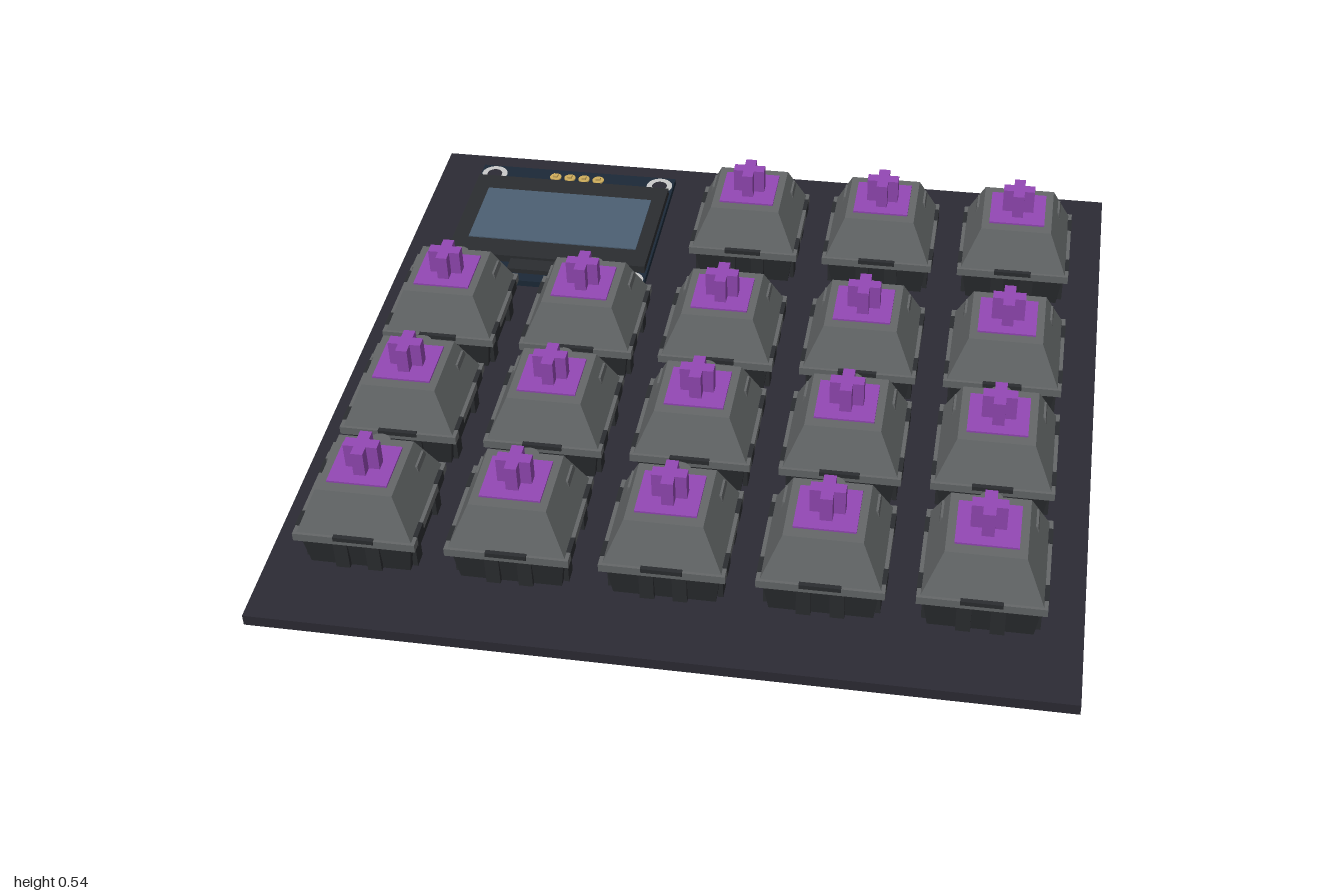
import * as THREE from 'three';

const paint = (name, color) => Object.assign(new THREE.MeshStandardMaterial({ color }), { name });
const M = {
  plate: paint('charcoal board', 0x2b2a33),
  dark: paint('dark plastic', 0x2a2c2f),
  grey: paint('grey housing', 0x626566),
  purple: paint('purple stem', 0x9046b0),
  navy: paint('navy display board', 0x1b2836),
  glass: paint('blue screen', 0x4a5d70),
  silver: paint('silver metal', 0xc4c4c4),
  gold: paint('gold pin', 0xc9a959),
};

function add(parent, name, geo, mat, x = 0, y = 0, z = 0) {
  const m = new THREE.Mesh(geo, mat);
  m.name = name;
  m.position.set(x, y, z);
  parent.add(m);
  return m;
}

const box = (w, h, d) => new THREE.BoxGeometry(w, h, d);
const rod = (r, h, n = 16) => new THREE.CylinderGeometry(r, r, h, n);

// Box whose top differs from its bottom; base sits on y = 0
function taper(w0, d0, w1, d1, h, shift = 0) {
  const g = new THREE.BoxGeometry(1, h, 1).translate(0, h / 2, 0);
  const p = g.attributes.position;
  for (let i = 0; i < p.count; i++) {
    const top = p.getY(i) > h / 2;
    p.setX(i, p.getX(i) * (top ? w1 : w0));
    p.setZ(i, p.getZ(i) * (top ? d1 : d0) + (top ? shift : 0));
  }
  g.computeVertexNormals();
  return g;
}

// Stadium outline for the port
function stadium(Cls, w, h) {
  const s = new Cls(), r = h / 2, a = w / 2 - r;
  s.absarc(a, 0, r, -Math.PI / 2, Math.PI / 2, false);
  s.absarc(-a, 0, r, Math.PI / 2, Math.PI * 1.5, false);
  s.closePath();
  return s;
}

// Geometry shared by every switch
const G = {
  lower: taper(0.25, 0.25, 0.276, 0.276, 0.095),
  rib: box(0.035, 0.085, 0.012),
  sideRib: box(0.012, 0.085, 0.04),
  flange: box(0.304, 0.022, 0.3),
  cover: taper(0.285, 0.285, 0.19, 0.2, 0.107),
  lensBlock: taper(0.12, 0.08, 0.09, 0.05, 0.08, 0.01),
  lens: rod(0.03, 0.08),
  shoulder: taper(0.06, 0.1, 0.04, 0.06, 0.075, 0.015),
  clip: box(0.03, 0.03, 0.05),
  latch: box(0.1, 0.012, 0.012),
  stemBase: box(0.15, 0.03, 0.143),
  crossX: box(0.085, 0.075, 0.03),
  crossZ: box(0.03, 0.075, 0.085),
  post: rod(0.04, 0.045),
  peg: rod(0.017, 0.035, 10),
  ledPin: box(0.01, 0.045, 0.01),
  socketA: box(0.13, 0.04, 0.09),
  socketB: box(0.1, 0.04, 0.07),
  pad: box(0.04, 0.025, 0.045),
  diode: box(0.055, 0.024, 0.032),
  lead: box(0.018, 0.008, 0.014),
};

function makeSwitch() {
  const s = new THREE.Group();
  s.name = 'keySwitch';
  // Housing
  add(s, 'lowerHousing', G.lower, M.dark, 0, 0.015, 0);
  for (const a of [-1, 1]) {
    for (const b of [-1, 1]) {
      add(s, 'housingRib', G.rib, M.dark, a * 0.04, 0.06, b * 0.134);
      add(s, 'sideRib', G.sideRib, M.dark, b * 0.134, 0.06, a * 0.09);
      add(s, 'cornerClip', G.clip, M.dark, a * 0.138, 0.112, b * 0.095);
    }
    add(s, 'latch', G.latch, M.dark, 0, 0.122, a * 0.147);
    add(s, 'rearShoulder', G.shoulder, M.grey, a * 0.095, 0.125, -0.09);
  }
  add(s, 'flange', G.flange, M.grey, 0, 0.114, 0);
  add(s, 'upperHousing', G.cover, M.grey, 0, 0.125, 0);
  add(s, 'lensBlock', G.lensBlock, M.grey, 0, 0.125, -0.105);
  add(s, 'lensBoss', G.lens, M.grey, 0, 0.172, -0.11);
  // Stem
  add(s, 'stemBase', G.stemBase, M.purple, 0, 0.222, 0);
  add(s, 'stemCross', G.crossX, M.purple, 0, 0.267, 0);
  add(s, 'stemCross', G.crossZ, M.purple, 0, 0.267, 0);
  // Underside: locating pegs, socket, lamp pins and diode
  add(s, 'centrePost', G.post, M.dark, 0, -0.036, 0);
  for (const a of [-1, 1]) {
    add(s, 'peg', G.peg, M.dark, a * 0.1, -0.025, 0);
    add(s, 'lampPin', G.ledPin, M.silver, a * 0.025, -0.032, -0.1);
    add(s, 'diodeLead', G.lead, M.silver, a * 0.035, -0.02, 0.2);
  }
  add(s, 'socket', G.socketA, M.dark, 0.05, -0.04, 0.09);
  add(s, 'socket', G.socketB, M.dark, -0.055, -0.04, 0.07);
  add(s, 'socketPad', G.pad, M.silver, 0.133, -0.03, 0.1);
  add(s, 'socketPad', G.pad, M.silver, -0.123, -0.03, 0.055);
  add(s, 'diode', G.diode, M.dark, 0, -0.027, 0.2);
  return s;
}

function makeDisplay() {
  const d = new THREE.Group();
  d.name = 'display';
  d.position.set(-0.546, 0, -0.585);
  add(d, 'displayBoard', box(0.582, 0.018, 0.548), M.navy, 0, 0.065, 0);
  add(d, 'bezel', box(0.57, 0.022, 0.385), M.dark, 0, 0.085, 0);
  add(d, 'screen', box(0.486, 0.004, 0.242), M.glass, 0.003, 0.097, -0.003);
  add(d, 'ribbon', box(0.2, 0.016, 0.05), M.dark, 0, 0.08, 0.215);
  // Corner mounting rings
  const ring = new THREE.RingGeometry(0.022, 0.038, 24).rotateX(-Math.PI / 2);
  const hole = new THREE.CircleGeometry(0.022, 24).rotateX(-Math.PI / 2);
  for (const x of [-0.25, 0.25]) for (const z of [-0.231, 0.231]) {
    add(d, 'mountingRing', ring, M.silver, x, 0.0755, z);
    add(d, 'mountingHole', hole, M.plate, x, 0.0755, z);
  }
  // Pin header
  add(d, 'header', box(0.18, 0.041, 0.04), M.dark, 0, 0.035, -0.235);
  for (let i = 0; i < 4; i++) {
    const x = (i - 1.5) * 0.043;
    add(d, 'headerPin', box(0.013, 0.17, 0.013), M.gold, x, 0, -0.235);
    add(d, 'pinPad', rod(0.017, 0.004), M.gold, x, 0.076, -0.235);
  }
  return d;
}

function makeController() {
  const c = new THREE.Group();
  c.name = 'controller';
  c.position.z = -0.58;
  add(c, 'controllerBoard', box(0.41, 0.02, 0.345), M.dark, -0.755, -0.025, 0);
  add(c, 'chip', box(0.1, 0.022, 0.1), M.grey, -0.71, -0.045, 0.03);
  for (let i = 0; i < 7; i++) for (const side of [-1, 1]) {
    add(c, 'edgePad', box(0.022, 0.004, 0.02), M.gold, -0.9 + i * 0.05, -0.036, side * 0.155);
  }
  for (const [x, z] of [[-0.62, 0.08], [-0.62, -0.02], [-0.67, -0.09], [-0.8, 0.1]]) {
    add(c, 'component', box(0.03, 0.014, 0.02), M.silver, x, -0.04, z);
  }
  // Port shell, open toward the right edge
  const shell = stadium(THREE.Shape, 0.178, 0.066);
  shell.holes.push(stadium(THREE.Path, 0.162, 0.05));
  const geo = new THREE.ExtrudeGeometry(shell, { depth: 0.15, bevelEnabled: false, curveSegments: 10 });
  add(c, 'portShell', geo.rotateY(-Math.PI / 2), M.silver, -0.85, -0.067, 0);
  const back = new THREE.ExtrudeGeometry(stadium(THREE.Shape, 0.17, 0.058), { depth: 0.03, bevelEnabled: false });
  add(c, 'portBack', back.rotateY(-Math.PI / 2), M.silver, -0.849, -0.067, 0);
  add(c, 'portTongue', box(0.09, 0.012, 0.11), M.dark, -0.92, -0.067, 0);
  return c;
}

export function createModel() {
  const model = new THREE.Group();
  model.name = 'macroPad';
  // Everything is built flat, then tilted so the back is raised
  const pad = new THREE.Group();
  pad.name = 'tiltedPad';
  pad.rotation.x = THREE.MathUtils.degToRad(7);
  pad.position.y = 0.155;
  model.add(pad);

  add(pad, 'board', box(1.98, 0.03, 1.98), M.plate, 0.01, 0, 0);

  // Switch grid; the back row leaves room for the display
  [0.66, 0.267, -0.127, -0.612].forEach((z, row) => {
    for (let col = row === 3 ? 2 : 0; col < 5; col++) {
      const s = makeSwitch();
      s.position.set(0.006 + (col - 2) * 0.376, 0, z);
      pad.add(s);
    }
  });
  pad.add(makeDisplay(), makeController());
  return model;
}
